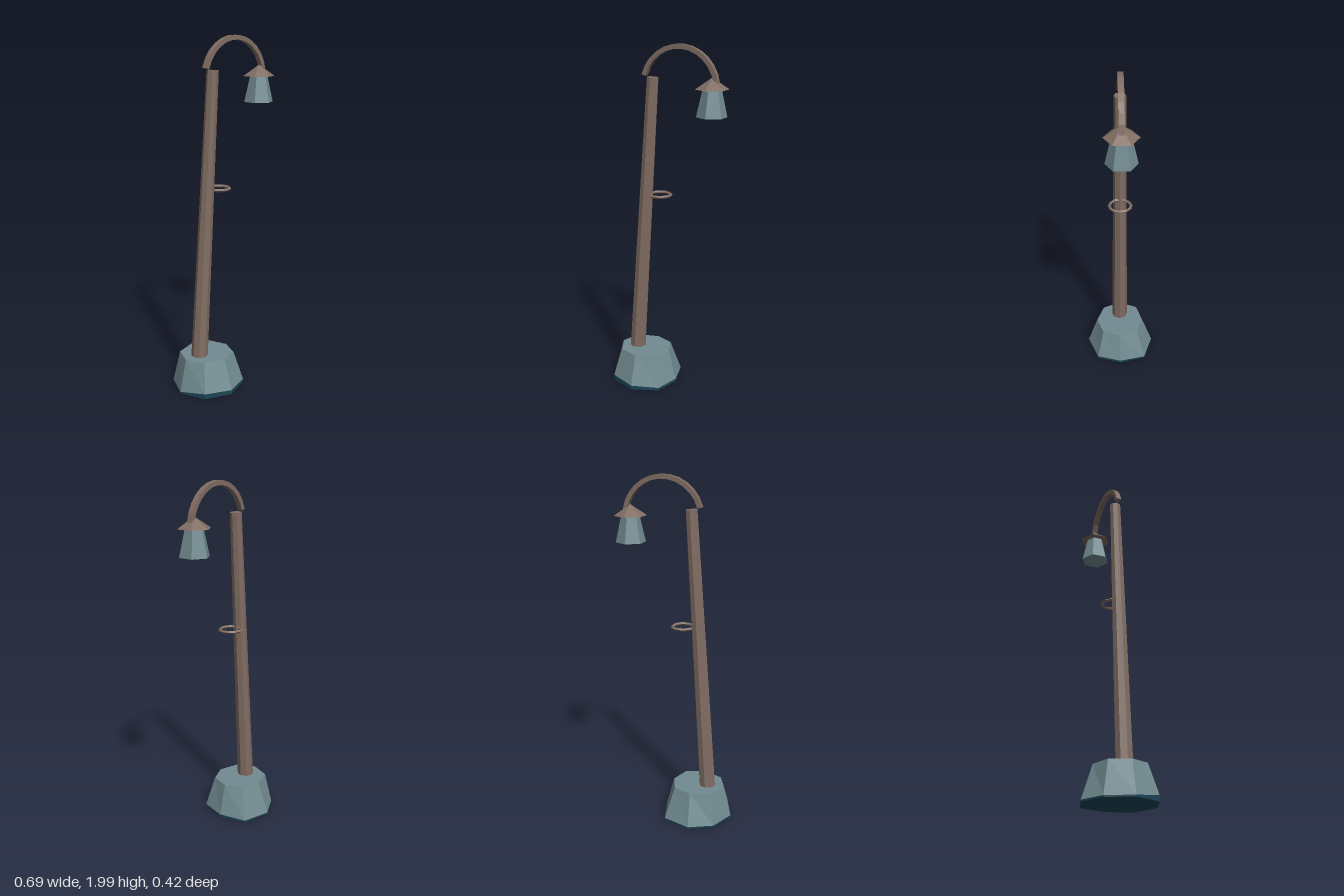
import * as THREE from 'three';

const mat = (name, color) => {
  const m = new THREE.MeshStandardMaterial({ color, flatShading: true });
  m.name = name;
  return m;
};

// Faceted wall between two rings of [x, y, z] points, with optional flat caps
function loft(lower, upper, capLower, capUpper) {
  const pos = [];
  const tri = (...pts) => pts.forEach((p) => pos.push(...p));
  const middle = (ring) => [0, 1, 2].map((k) => ring.reduce((s, p) => s + p[k], 0) / ring.length);
  const n = lower.length;
  for (let i = 0; i < n; i++) {
    const j = (i + 1) % n;
    tri(lower[i], upper[i], upper[j]);
    tri(lower[i], upper[j], lower[j]);
    if (capUpper) tri(middle(upper), upper[j], upper[i]);
    if (capLower) tri(middle(lower), lower[i], lower[j]);
  }
  const g = new THREE.BufferGeometry();
  g.setAttribute('position', new THREE.Float32BufferAttribute(pos, 3));
  g.computeVertexNormals();
  return g;
}

export function createModel() {
  const group = new THREE.Group();
  const wood = mat('brown wood', 0x806d62);
  const teal = mat('grey teal', 0x728c91);
  const dark = mat('dark teal', 0x1b4456);

  const add = (name, geometry, material, x = 0, y = 0, z = 0) => {
    const mesh = new THREE.Mesh(geometry, material);
    mesh.name = name;
    mesh.position.set(x, y, z);
    group.add(mesh);
    return mesh;
  };

  // Uneven eight-sided foot: outer rim, top rim and height of the dark sole
  const rim = [[-0.345, 0], [-0.28, -0.143], [-0.143, -0.209], [0.018, -0.156],
    [0.06, 0], [0.017, 0.144], [-0.135, 0.206], [-0.285, 0.148]];
  const topRim = [[-0.3, 0], [-0.254, -0.11], [-0.133, -0.145], [-0.028, -0.106],
    [0.012, 0], [-0.027, 0.107], [-0.135, 0.148], [-0.252, 0.104]];
  const soleTop = [0.015, 0.015, 0.015, 0.015, 0.022, 0.022, 0.03, 0.036];
  const soleRing = rim.map(([x, z]) => [x, 0.006, z]);
  const wallRing = rim.map(([x, z], i) => [x, soleTop[i], z]);
  const topRing = topRim.map(([x, z]) => [x, 0.2, z]);
  add('baseSole', loft(soleRing, wallRing, true, false), dark);
  add('base', loft(wallRing, topRing, false, true), teal);

  // Leaning, tapered post
  const foot = new THREE.Vector3(-0.199, 0.17, 0);
  const head = new THREE.Vector3(-0.086, 1.82, 0);
  const lean = head.clone().sub(foot);
  const post = add('post', new THREE.CylinderGeometry(0.033, 0.048, lean.length(), 8), wood);
  post.position.copy(foot).add(head).multiplyScalar(0.5);
  post.quaternion.setFromUnitVectors(new THREE.Vector3(0, 1, 0), lean.normalize());

  // Ring on the post
  const ring = add('ring', new THREE.TorusGeometry(0.061, 0.009, 4, 12), wood, -0.042, 1.167, 0);
  ring.rotation.x = Math.PI / 2;

  // Curved arm, a square bar along an arc
  const arc = [];
  const steps = 12;
  const start = 2.86, end = 0.14;
  for (let i = 0; i <= steps; i++) arc.push(start + ((end - start) * i) / steps);
  const at = (r) => (a) => new THREE.Vector2(r * Math.cos(a), r * Math.sin(a));
  const outline = new THREE.Shape([...arc.map(at(0.231)), ...arc.slice().reverse().map(at(0.206))]);
  const arm = new THREE.ExtrudeGeometry(outline, { depth: 0.03, bevelEnabled: false });
  add('arm', arm, wood, 0.075, 1.769, -0.015);

  // Hanging six-sided lantern
  add('lanternRoof', new THREE.ConeGeometry(0.092, 0.062, 6), wood, 0.265, 1.803, 0);
  add('lanternBody', new THREE.CylinderGeometry(0.05, 0.084, 0.15, 6), teal, 0.265, 1.702, 0);

  return group;
}
